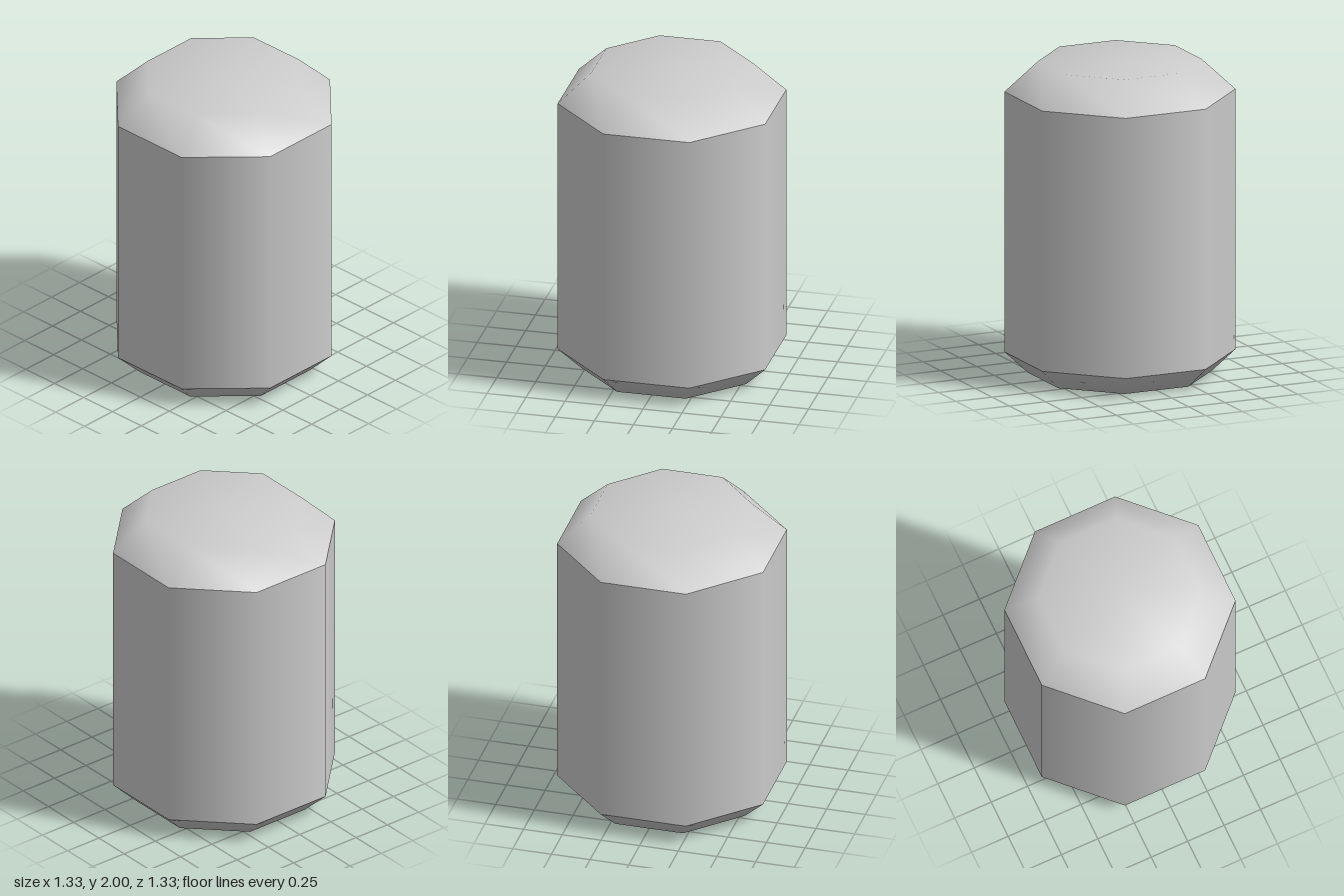
import * as THREE from 'three';

const SIDES = 8;
const CORNER = 1 / Math.cos(Math.PI / SIDES); // flat half-width to corner radius

// Profile is a list of [flat half-width, height], from bottom to top
function octagonalPart(name, profile, material) {
  const points = profile.map(([w, y]) => new THREE.Vector2(w * CORNER, y));
  const geometry = new THREE.LatheGeometry(points, SIDES, Math.PI / SIDES);
  const mesh = new THREE.Mesh(geometry, material);
  mesh.name = name;
  return mesh;
}

export function createModel() {
  const group = new THREE.Group();
  group.name = 'can';
  const metal = new THREE.MeshStandardMaterial({ color: 0xcccccc });
  metal.name = 'light grey';

  // Separate parts keep the edges between body and bevels sharp
  group.add(
    octagonalPart('base', [[0, 0], [0.53, 0], [0.665, 0.135]], metal),
    octagonalPart('body', [[0.665, 0.135], [0.665, 1.805]], metal),
    octagonalPart('lid', [[0.665, 1.805], [0.47, 2], [0, 2]], metal),
  );
  return group;
}
